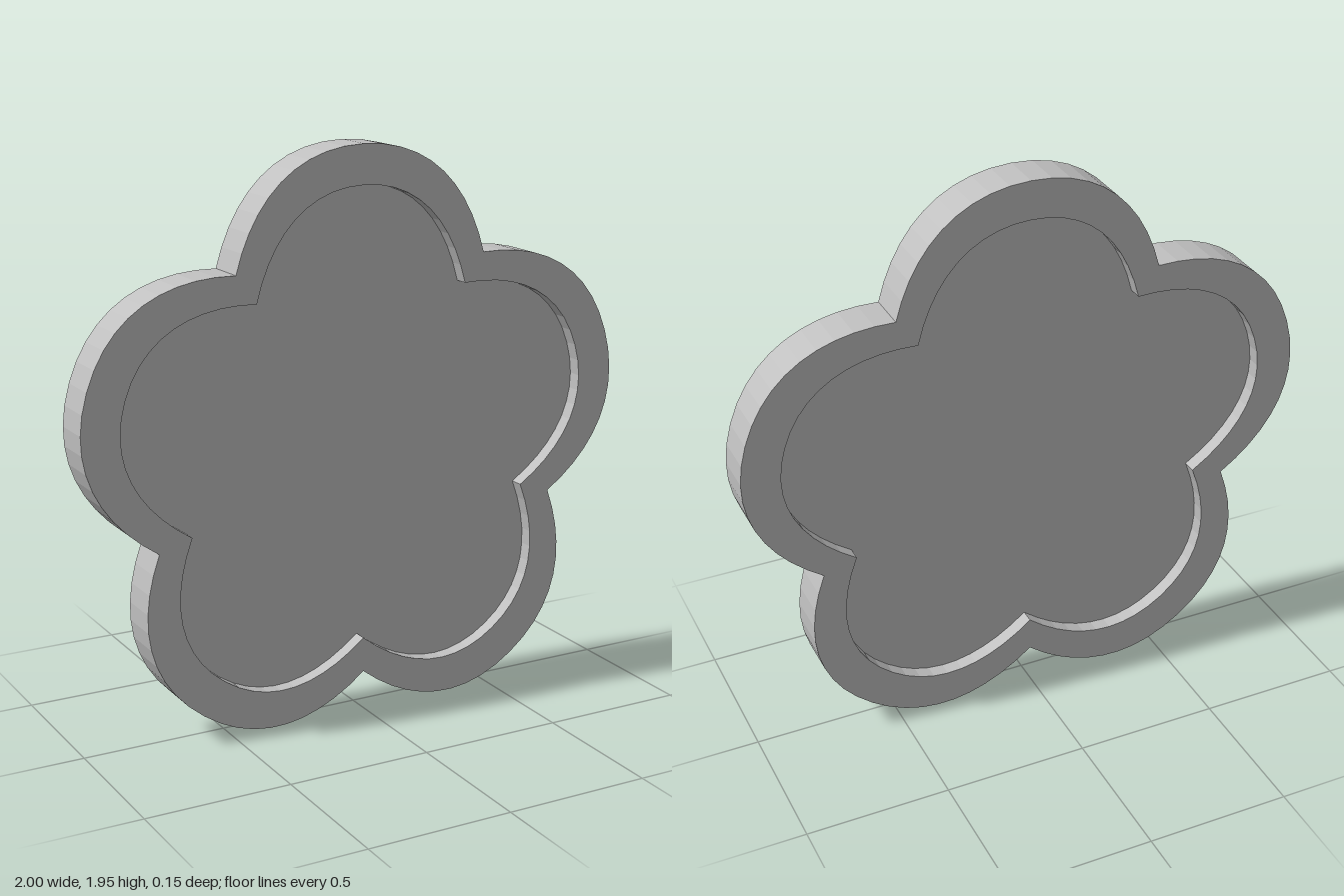
import * as THREE from 'three';

const CENTRE_Y = 0.925;

// Traces five petals; the half profile is [sideways, outward] for notch, two handles and tip.
function tracePetals(path, [notch, h1, h2, tip]) {
  for (let k = 0; k < 5; k++) {
    const a = Math.PI / 2 + (k * Math.PI * 2) / 5;
    const at = ([side, out], sign) => [
      out * Math.cos(a) - sign * side * Math.sin(a),
      out * Math.sin(a) + sign * side * Math.cos(a),
    ];
    if (k === 0) path.moveTo(...at(notch, -1));
    path.bezierCurveTo(...at(h1, -1), ...at(h2, -1), ...at(tip, 1));
    path.bezierCurveTo(...at(h2, 1), ...at(h1, 1), ...at(notch, 1));
  }
  return path;
}

const OUTER = [[0.462, 0.636], [0.40, 0.87], [0.25, 1.025], [0, 1.025]];
const INNER = [[0.39, 0.537], [0.335, 0.755], [0.205, 0.892], [0, 0.892]];

function slab(name, shape, depth, material) {
  const geometry = new THREE.ExtrudeGeometry(shape, { depth, bevelEnabled: false, curveSegments: 10 });
  geometry.translate(0, CENTRE_Y, -depth / 2);
  const mesh = new THREE.Mesh(geometry, material);
  mesh.name = name;
  return mesh;
}

export function createModel() {
  const group = new THREE.Group();
  group.name = 'flowerTray';
  const grey = new THREE.MeshStandardMaterial({ color: 0xc0c0c0 });
  grey.name = 'light grey';

  // Raised border, standing proud on both sides
  const rim = tracePetals(new THREE.Shape(), OUTER);
  rim.holes.push(tracePetals(new THREE.Path(), INNER));
  group.add(slab('rim', rim, 0.15, grey));

  // Recessed panel filling the border
  const panel = tracePetals(new THREE.Shape(), INNER);
  group.add(slab('panel', panel, 0.05, grey));

  return group;
}
